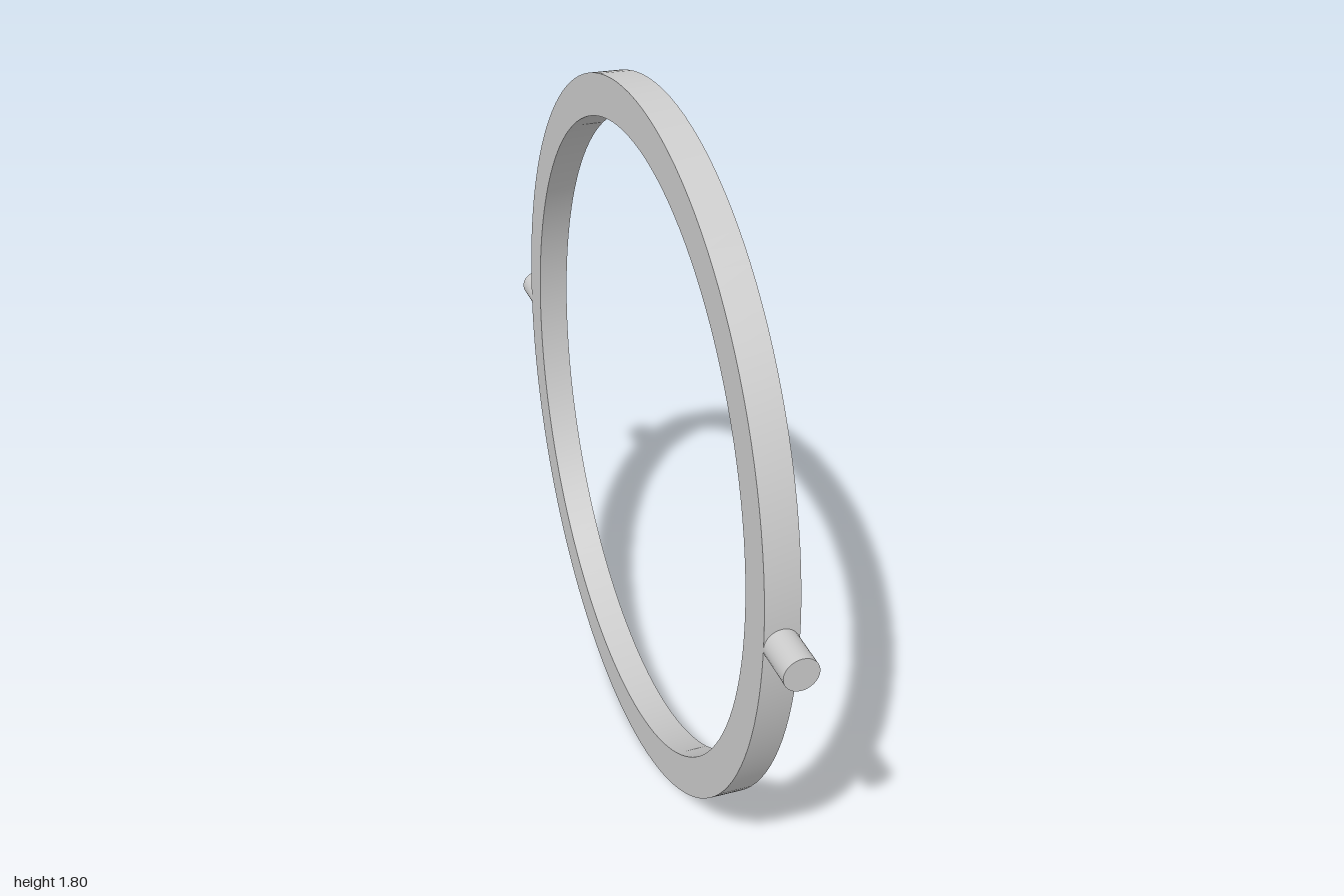
import * as THREE from 'three';
import { toCreasedNormals } from 'three/addons/utils/BufferGeometryUtils.js';

const OUTER = 0.9, INNER = 0.8, HALF_WIDTH = 0.04;
const PIN_RADIUS = 0.04, PIN_START = 0.88, PIN_END = 1;

export function createModel() {
  const model = new THREE.Group();
  model.name = 'gimbalRing';
  const material = new THREE.MeshStandardMaterial({ color: 0xcccccc });

  // Flat ring: rectangular section revolved, axis turned to lie along x
  const section = [
    [INNER, -HALF_WIDTH], [OUTER, -HALF_WIDTH],
    [OUTER, HALF_WIDTH], [INNER, HALF_WIDTH], [INNER, -HALF_WIDTH],
  ].map(([r, h]) => new THREE.Vector2(r, h));
  const ringGeometry = toCreasedNormals(new THREE.LatheGeometry(section, 128), 0.6);
  ringGeometry.rotateZ(Math.PI / 2);
  const ring = new THREE.Mesh(ringGeometry, material);
  ring.name = 'ring';
  ring.position.y = OUTER;
  model.add(ring);

  // Pivot pins at front and back, rooted slightly inside the ring
  const pinGeometry = new THREE.CylinderGeometry(PIN_RADIUS, PIN_RADIUS, PIN_END - PIN_START, 32);
  pinGeometry.rotateX(Math.PI / 2);
  for (const [name, side] of [['frontPin', 1], ['backPin', -1]]) {
    const pin = new THREE.Mesh(pinGeometry, material);
    pin.name = name;
    pin.position.set(0, OUTER, side * (PIN_START + PIN_END) / 2);
    model.add(pin);
  }

  return model;
}
